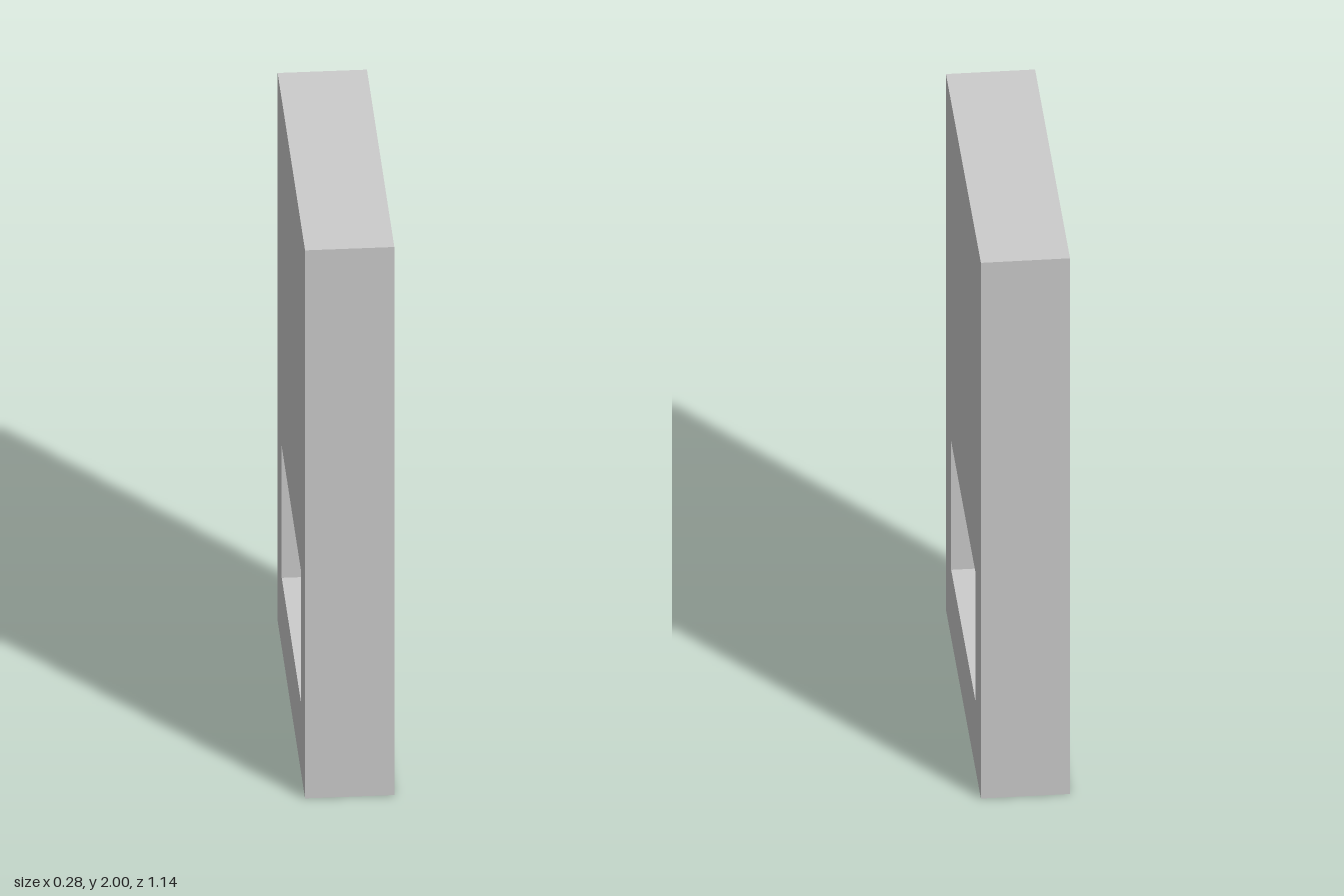
import * as THREE from 'three';

const material = new THREE.MeshStandardMaterial({ color: 0xcccccc, flatShading: true });

// Rectangle outline in the z-y plane, centred on z = 0
function rectangle(PathType, halfWidth, bottom, top) {
  const path = new PathType();
  path.moveTo(-halfWidth, bottom);
  path.lineTo(halfWidth, bottom);
  path.lineTo(halfWidth, top);
  path.lineTo(-halfWidth, top);
  path.closePath();
  return path;
}

// Rectangular ring extruded along x, centred on x = 0
function ring(name, outer, inner, depth) {
  const shape = rectangle(THREE.Shape, ...outer);
  shape.holes.push(rectangle(THREE.Path, ...inner));
  const geometry = new THREE.ExtrudeGeometry(shape, { depth, bevelEnabled: false });
  geometry.translate(0, 0, -depth / 2).rotateY(Math.PI / 2);
  const mesh = new THREE.Mesh(geometry, material);
  mesh.name = name;
  return mesh;
}

function bar(name, x, y, z, width, height, depth) {
  const mesh = new THREE.Mesh(new THREE.BoxGeometry(width, height, depth), material);
  mesh.position.set(x, y, z);
  mesh.name = name;
  return mesh;
}

export function createModel() {
  const model = new THREE.Group();
  model.name = 'wallWithWindow';

  // Each outline is [half width, bottom, top]
  const opening = [0.4, 0.254, 0.735];
  const frameInner = [0.38, 0.272, 0.717];
  const sashInner = [0.374, 0.277, 0.712];

  // Thick wall panel with a deep window opening
  model.add(ring('wall', [0.57, 0, 2], opening, 0.284));

  // Window: frame, thin sash and glazing bars, midway through the wall
  const windowGroup = new THREE.Group();
  windowGroup.name = 'window';
  windowGroup.add(ring('windowFrame', opening, frameInner, 0.07));
  windowGroup.add(ring('windowSash', frameInner, sashInner, 0.025));

  const [halfWidth, bottom, top] = sashInner;
  const middle = (bottom + top) / 2;
  for (let i = -1; i <= 1; i++) {
    windowGroup.add(bar('verticalBar', 0, middle, i * 0.19, 0.016, top - bottom, 0.012));
    windowGroup.add(bar('horizontalBar', 0, middle + i * 0.112, 0, 0.02, 0.013, halfWidth * 2));
  }
  model.add(windowGroup);

  return model;
}
